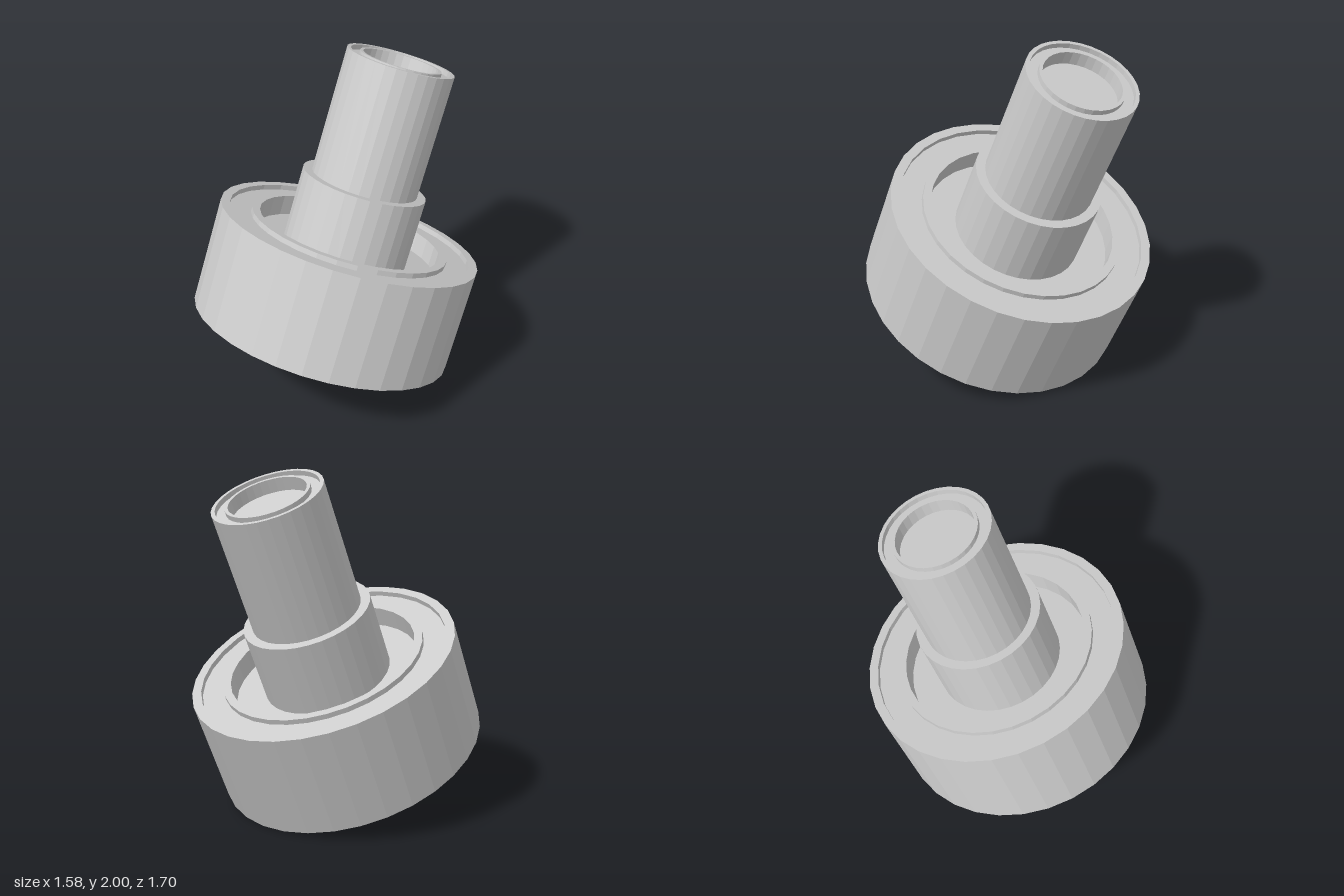
import * as THREE from 'three';

const material = new THREE.MeshStandardMaterial({
  color: 0xcccccc, flatShading: true, side: THREE.DoubleSide,
});

// Turned sheet part from [radius, height] pairs along the tilted axis
function turned(name, profile) {
  const points = profile.map(([r, h]) => new THREE.Vector2(r, h));
  const mesh = new THREE.Mesh(new THREE.LatheGeometry(points, 32), material);
  mesh.name = name;
  return mesh;
}

// Raised rim, shallow groove, raised ring and recess, from the outside in
function rimmedFace(radius, top, groove, recess) {
  return [
    [radius, top], [radius * 0.93, top],
    [radius * 0.93, top - groove], [radius * 0.76, top - groove],
    [radius * 0.76, top], [radius * 0.7, top],
    [radius * 0.7, top - recess],
  ];
}

export function createModel() {
  const model = new THREE.Group();
  model.name = 'tiltedFitting';

  const body = new THREE.Group();
  body.name = 'body';
  body.position.set(0, 0.31, 0.125);
  body.rotation.x = -0.404;
  model.add(body);

  // Wide skirt, open underneath, with a recessed top
  body.add(turned('base', [[0.79, 0], ...rimmedFace(0.79, 0.64, 0.03, 0.122), [0.375, 0.518]]));

  // Stepped collar rising from the recess
  body.add(turned('collar', [[0.375, 0.518], [0.375, 0.952], [0.32, 0.952]]));

  // Upper tube, closed by a recessed disc
  body.add(turned('tube', [[0.32, 0.952], ...rimmedFace(0.32, 1.7, 0.03, 0.08), [0, 1.62]]));

  return model;
}
